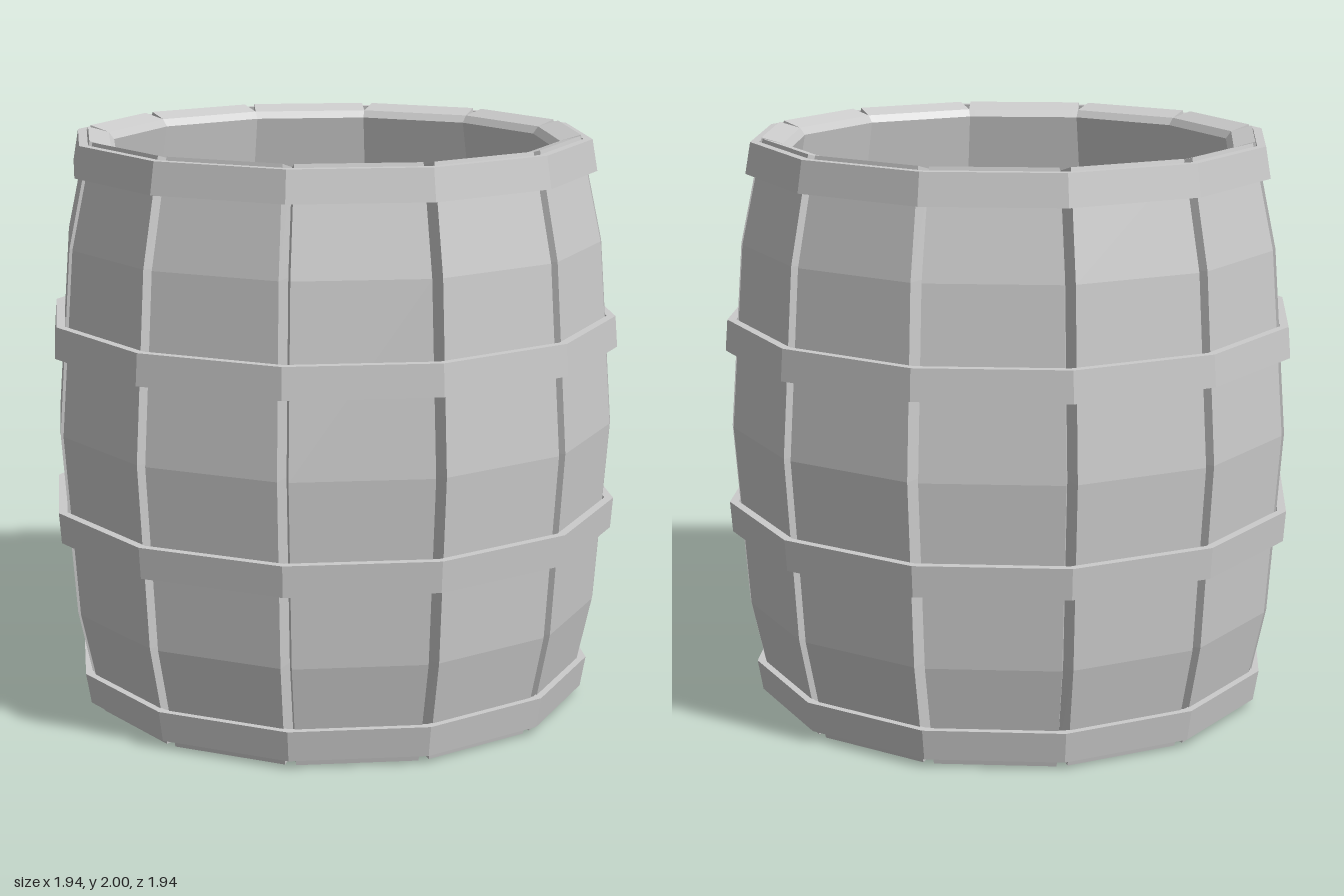
import * as THREE from 'three';

const SIDES = 12, TAN = Math.tan(Math.PI / SIDES), COS = Math.cos(Math.PI / SIDES);
const GROOVE = 0.072;
const material = new THREE.MeshStandardMaterial({ color: 0xcccccc, flatShading: true });

// One loop of the body: for each stave a corner point and its two face edges.
// Outer loops pull the corner inwards, which leaves a V groove between staves.
function ring(y, apothem, depth = 0, cornerY = y) {
  const corner = apothem - depth;
  const half = depth > 0 ? corner * TAN : corner * TAN * 0.9;
  const points = [];
  for (let k = 0; k < SIDES; k++) {
    const t = (k * 2 * Math.PI) / SIDES, s = Math.sin(t), c = Math.cos(t);
    for (const [u, h, r] of [[-corner * TAN, cornerY, corner], [-half, y, apothem], [half, y, apothem]]) {
      points.push([u * c + r * s, h, r * c - u * s]);
    }
  }
  return points;
}

// Joins loops into a faceted skin; the first and last loops are single points
function skin(rings) {
  const pos = [], n = rings[0].length;
  for (let r = 0; r < rings.length - 1; r++) {
    for (let i = 0; i < n; i++) {
      const j = (i + 1) % n;
      const a = rings[r][i], b = rings[r][j], c = rings[r + 1][j], d = rings[r + 1][i];
      if (r > 0) pos.push(...a, ...b, ...c);
      if (r < rings.length - 2) pos.push(...a, ...c, ...d);
    }
  }
  const g = new THREE.BufferGeometry();
  g.setAttribute('position', new THREE.Float32BufferAttribute(pos, 3));
  g.computeVertexNormals();
  return g;
}

// Twelve-sided band, flat side to the front
function hoop(y0, y1, a0, a1, thickness) {
  const p = (a, y) => new THREE.Vector2(a / COS, y);
  const g = new THREE.LatheGeometry(
    [p(a0 - thickness, y0), p(a0, y0), p(a1, y1), p(a1 - thickness, y1), p(a0 - thickness, y0)], SIDES);
  g.rotateY(Math.PI / SIDES);
  return g;
}

export function createModel() {
  const group = new THREE.Group();
  group.name = 'barrel';
  const add = (name, geometry) => {
    const mesh = new THREE.Mesh(geometry, material);
    mesh.name = name;
    group.add(mesh);
  };

  // Recessed underside, bulging staves with inward-sloping ends, smooth wall and floor inside
  add('staves', skin([
    ring(0.045, 0), ring(0.045, 0.745), ring(0.02, 0.763),
    ring(0, 0.835, GROOVE, 0.02),
    ring(0.36, 0.91, GROOVE),
    ring(1, 0.955, GROOVE),
    ring(1.64, 0.91, GROOVE),
    ring(2, 0.835, GROOVE, 1.98),
    ring(1.98, 0.763), ring(1.955, 0.745),
    ring(1.62, 0.805), ring(1, 0.845), ring(0.38, 0.795),
    ring(0.08, 0.71), ring(0.08, 0),
  ]));

  // Hoops in upper and lower pairs
  add('topHoop', hoop(1.88, 1.988, 0.888, 0.87, 0.03));
  add('upperMiddleHoop', hoop(1.27, 1.378, 0.968, 0.96, 0.03));
  add('lowerMiddleHoop', hoop(0.62, 0.728, 0.96, 0.968, 0.03));
  add('bottomHoop', hoop(0.028, 0.136, 0.87, 0.888, 0.03));
  return group;
}
